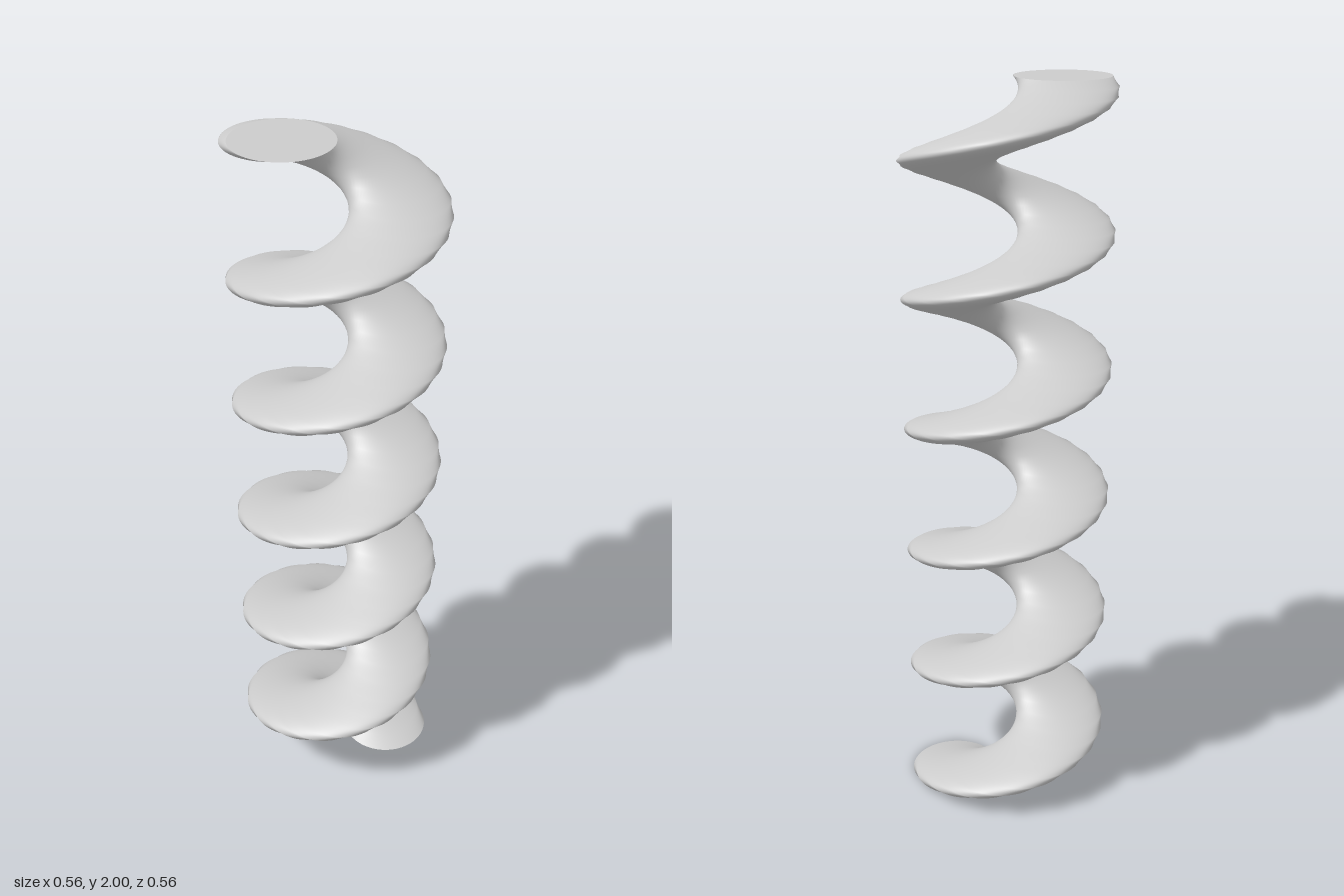
import * as THREE from 'three';

const HEIGHT = 2;
const RADIUS = 0.1265;                  // radius of the round cross-section
const OFFSET = 0.1535;                  // distance of the section from the axis
const TWIST = THREE.MathUtils.degToRad(2000);
const SLICES = 100;

// Twists a geometry about the y axis, with exact smooth normals on its wall
function twist(geometry, rate) {
  const pos = geometry.attributes.position;
  const nor = geometry.attributes.normal;
  const axis = new THREE.Vector3(0, 1, 0);
  const p = new THREE.Vector3();
  const n = new THREE.Vector3();
  for (let i = 0; i < pos.count; i++) {
    p.fromBufferAttribute(pos, i);
    n.fromBufferAttribute(nor, i);
    const angle = p.y * rate;
    p.applyAxisAngle(axis, angle);
    n.applyAxisAngle(axis, angle);
    // The wall leans as it winds; the flat end caps keep their normals
    if (Math.abs(n.y) < 0.5) {
      n.y = -rate * (n.x * p.z - n.z * p.x);
      n.normalize();
    }
    pos.setXYZ(i, p.x, p.y, p.z);
    nor.setXYZ(i, n.x, n.y, n.z);
  }
  return geometry;
}

export function createModel() {
  const group = new THREE.Group();
  group.name = 'twistedColumn';

  // Off-centre round column wound into a corkscrew, closed at both ends
  const column = new THREE.CylinderGeometry(RADIUS, RADIUS, HEIGHT, 96, SLICES);
  column.translate(OFFSET, HEIGHT / 2, 0);
  const screw = new THREE.Mesh(
    twist(column, TWIST / HEIGHT),
    new THREE.MeshStandardMaterial({ color: 0xcccccc })
  );
  screw.name = 'corkscrew';
  group.add(screw);

  return group;
}
